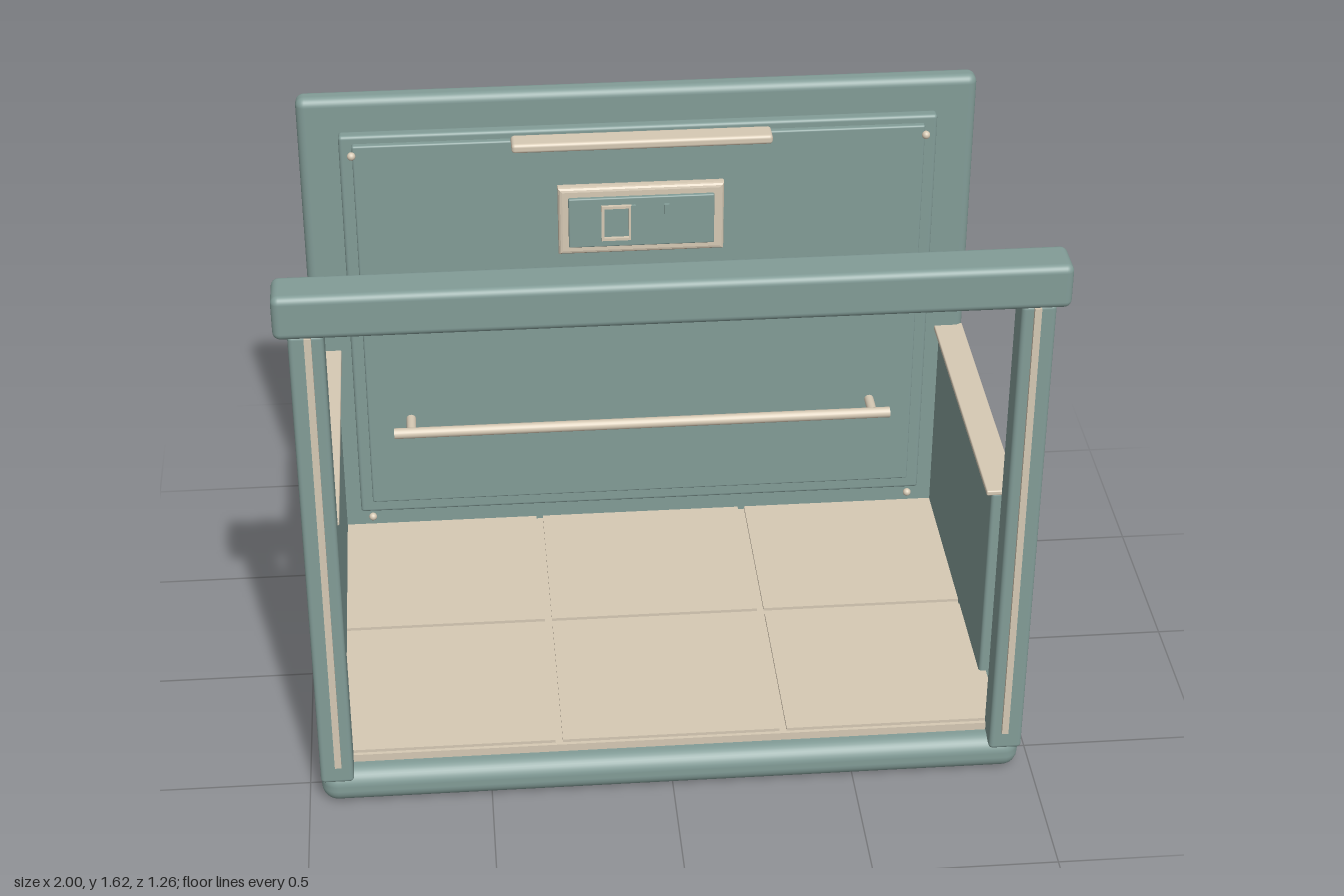
import * as THREE from 'three';
import { RoundedBoxGeometry } from 'three/addons/geometries/RoundedBoxGeometry.js';

export function createModel() {
  const model = new THREE.Group();
  model.name = 'booth';
  const teal = new THREE.MeshStandardMaterial({ name: 'sage teal', color: 0x829c97 });
  const cream = new THREE.MeshStandardMaterial({ name: 'warm cream', color: 0xd6c9b4 });

  const add = (name, geometry, material) => {
    const mesh = new THREE.Mesh(geometry, material);
    mesh.name = name;
    model.add(mesh);
    return mesh;
  };
  // Box given by its limits on each axis, with optional rounded edges
  const box = (name, material, [x0, x1], [y0, y1], [z0, z1], radius = 0) => {
    const size = [x1 - x0, y1 - y0, z1 - z0];
    const geometry = radius
      ? new RoundedBoxGeometry(...size, 4, radius)
      : new THREE.BoxGeometry(...size);
    const mesh = add(name, geometry, material);
    mesh.position.set((x0 + x1) / 2, (y0 + y1) / 2, (z0 + z1) / 2);
    return mesh;
  };
  const rod = (name, radius, length, x, y, z, axis) => {
    const geometry = new THREE.CylinderGeometry(radius, radius, length, 20);
    if (axis === 'x') geometry.rotateZ(Math.PI / 2);
    if (axis === 'z') geometry.rotateX(Math.PI / 2);
    add(name, geometry, cream).position.set(x, y, z);
  };
  const rectangle = (path, w, h) => path
    .moveTo(-w, -h).lineTo(w, -h).lineTo(w, h).lineTo(-w, h).closePath();
  // Rectangular ring facing forward
  const ring = (name, w, h, rim, depth, bevel, x, y, z) => {
    const shape = new THREE.Shape();
    rectangle(shape, w - bevel, h - bevel);
    const hole = new THREE.Path();
    rectangle(hole, w - rim, h - rim);
    shape.holes.push(hole);
    const geometry = new THREE.ExtrudeGeometry(shape, {
      depth: depth - 2 * bevel, bevelEnabled: bevel > 0,
      bevelSize: bevel, bevelThickness: bevel, bevelSegments: 3,
    });
    add(name, geometry, cream).position.set(x, y, z + bevel);
  };

  // Base and tiled floor
  box('base', teal, [-0.965, 0.965], [0, 0.105], [-0.62, 0.605], 0.045);
  box('floorSlab', cream, [-0.915, 0.915], [0.1, 0.128], [-0.57, 0.55]);
  for (const xs of [[-0.915, -0.32], [-0.3, 0.3], [0.32, 0.915]]) {
    for (const zs of [[-0.57, -0.027], [-0.003, 0.54]]) {
      box('floorTile', cream, xs, [0.122, 0.137], zs);
    }
  }

  // Back wall with stepped panel
  box('backWall', teal, [-0.965, 0.965], [0.088, 1.57], [-0.63, -0.563], 0.025);
  box('panelSurround', teal, [-0.85, 0.85], [0.2, 1.468], [-0.57, -0.532], 0.01);
  box('backPanel', teal, [-0.813, 0.813], [0.245, 1.445], [-0.54, -0.515], 0.006);

  // Front header beam
  box('headerBeam', teal, [-1, 1], [1.495, 1.617], [0.508, 0.63], 0.02);

  for (const side of [-1, 1]) {
    const span = (a, b) => (side > 0 ? [a, b] : [-b, -a]);

    // Front posts with trim strips
    box('frontPost', teal, span(0.875, 0.965), [0.085, 1.5], [0.528, 0.615], 0.012);
    box('postTrim', cream, span(0.906, 0.924), [0.145, 1.497], [0.61, 0.626]);

    // Low side walls with caps
    box('sideWall', teal, span(0.895, 0.958), [0.092, 0.742], [-0.57, 0.325], 0.01);
    box('sideWallCap', cream, span(0.88, 0.965), [0.74, 0.755], [-0.575, 0.333], 0.004);

    // Panel screws and rail brackets
    for (const y of [0.197, 1.417]) {
      const screw = add('panelScrew', new THREE.SphereGeometry(0.012, 16, 12), cream);
      screw.position.set(side * 0.815, y, -0.512);
    }
    rod('railBracket', 0.014, 0.085, side * 0.685, 0.538, -0.478, 'z');
  }

  // Rail and top lamp
  rod('rail', 0.016, 1.472, 0, 0.538, -0.436, 'x');
  box('topLamp', cream, [-0.367, 0.367], [1.446, 1.474], [-0.498, -0.43], 0.01);

  // Control panel with raised markers
  ring('controlFrame', 0.237, 0.106, 0.03, 0.038, 0.012, -0.002, 1.206, -0.502);
  box('controlFace', teal, [-0.21, 0.206], [1.128, 1.284], [-0.495, -0.453], 0.004);
  ring('squareMarker', 0.043, 0.055, 0.008, 0.01, 0, -0.074, 1.207, -0.453);
  for (const x of [-0.026, 0.07]) {
    box('barMarker', teal, [x - 0.007, x + 0.007], [1.152, 1.262], [-0.455, -0.442]);
  }

  return model;
}
